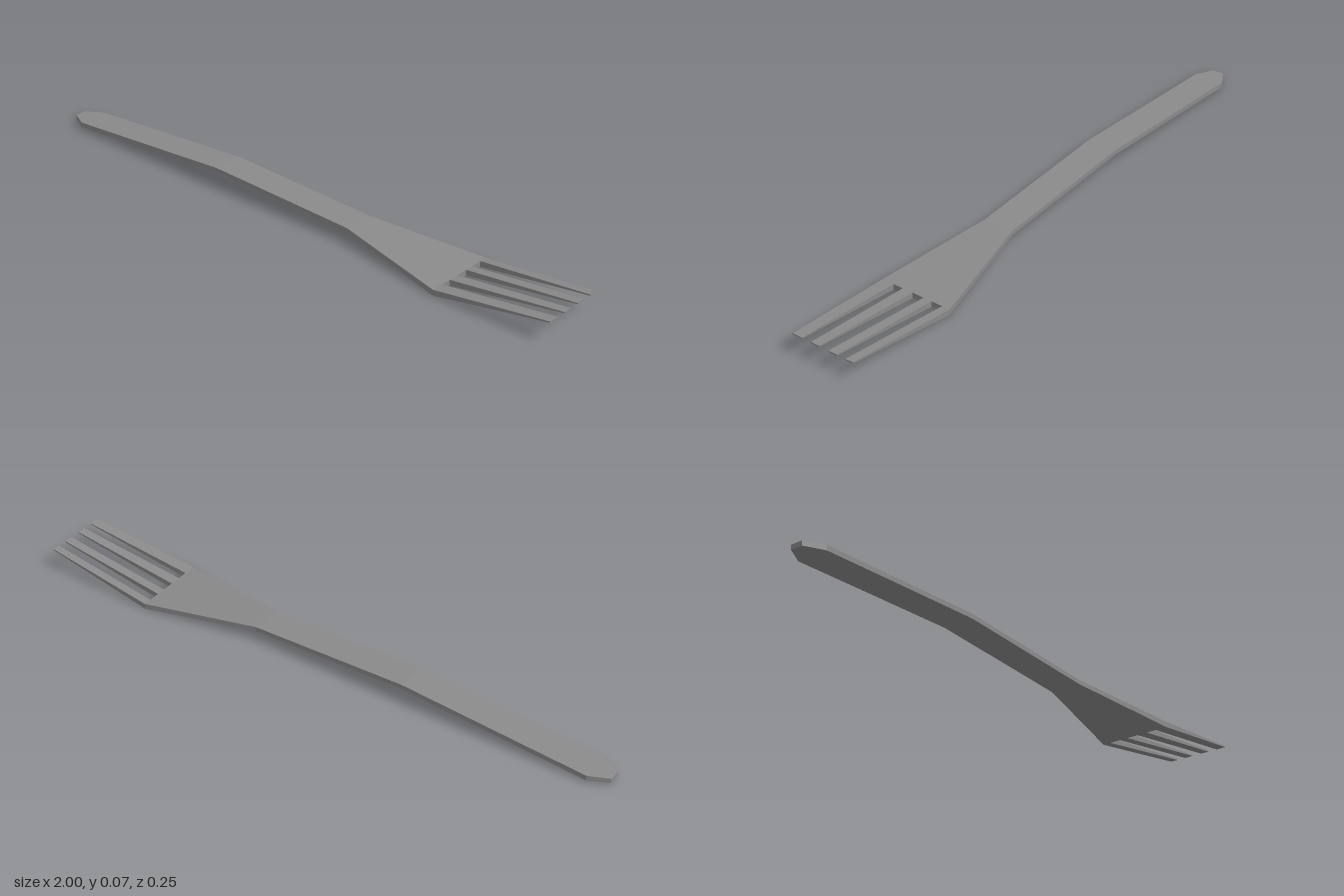
import * as THREE from 'three';

// Lofts a closed bar through rectangular sections [x, bottom, top, zMin, zMax], ordered along +x.
function loft(name, sections, material) {
  const positions = sections.flatMap(([x, y0, y1, z0, z1]) =>
    [x, y0, z0, x, y1, z0, x, y1, z1, x, y0, z1]);
  const index = [0, 2, 1, 0, 3, 2];
  for (let s = 0; s < sections.length - 1; s++) {
    for (let i = 0; i < 4; i++) {
      const j = (i + 1) % 4;
      const a = s * 4, b = a + 4;
      index.push(a + i, a + j, b + j, a + i, b + j, b + i);
    }
  }
  const e = (sections.length - 1) * 4;
  index.push(e, e + 1, e + 2, e, e + 2, e + 3);

  const indexed = new THREE.BufferGeometry();
  indexed.setAttribute('position', new THREE.Float32BufferAttribute(positions, 3));
  indexed.setIndex(index);
  const geometry = indexed.toNonIndexed();
  geometry.computeVertexNormals(); // flat facets
  const mesh = new THREE.Mesh(geometry, material);
  mesh.name = name;
  return mesh;
}

export function createModel() {
  const metal = new THREE.MeshStandardMaterial({ color: 0x8a8a8a });
  metal.name = 'grey metal';

  const fork = new THREE.Group();
  fork.name = 'fork';

  // Arched handle with a chamfered end
  const symmetric = ([x, y0, y1, w]) => [x, y0, y1, -w, w];
  fork.add(loft('handle', [
    [-1, 0.006, 0.022, 0.02],
    [-0.937, 0.008, 0.025, 0.052],
    [-0.65, 0.028, 0.044, 0.052],
    [-0.31, 0.051, 0.067, 0.052],
    [0.225, 0.034, 0.049, 0.052],
  ].map(symmetric), metal));

  // Flaring head
  fork.add(loft('head', [
    [0.225, 0.034, 0.049, 0.052],
    [0.61, 0, 0.019, 0.124],
  ].map(symmetric), metal));

  // Four rising, thinning tines: root zMin, zMax, tip zMin, zMax
  const tines = [
    [-0.124, -0.097, -0.109, -0.083],
    [-0.058, -0.029, -0.052, -0.022],
    [0.012, 0.048, 0.013, 0.042],
    [0.083, 0.124, 0.075, 0.109],
  ];
  tines.forEach(([a, b, c, d], i) => {
    fork.add(loft(`tine${i + 1}`, [
      [0.61, 0, 0.019, a, b],
      [1, 0.062, 0.066, c, d],
    ], metal));
  });

  return fork;
}
